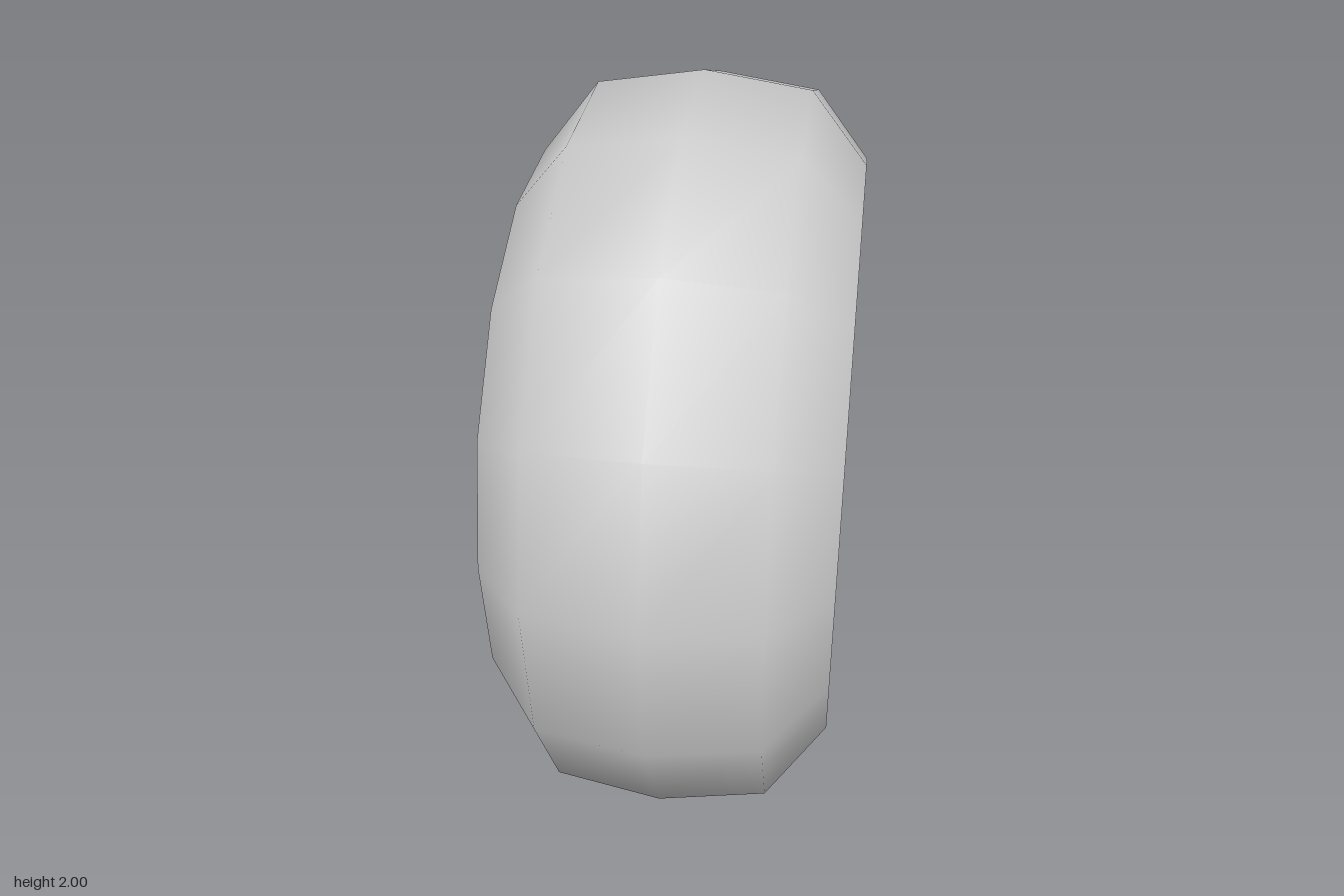
import * as THREE from 'three';

const SIDES = 16;
const TWIST = -0.1; // small roll of the wheel about its axle

export function createModel() {
  const wheel = new THREE.Group();
  wheel.name = 'wheel';
  const material = new THREE.MeshStandardMaterial({ color: 0xcccccc });

  // Revolve a [radius, x] profile around the x axle
  const revolve = (name, profile, parent) => {
    const points = profile.map(([r, x]) => new THREE.Vector2(r, x));
    const geometry = new THREE.LatheGeometry(points, SIDES, TWIST);
    geometry.rotateZ(-Math.PI / 2);
    const mesh = new THREE.Mesh(geometry, material);
    mesh.name = name;
    parent.add(mesh);
  };

  // Rounded tread, smooth from shoulder to shoulder
  revolve('tread', [
    [0.784, -0.415], [0.965, -0.27], [1.005, 0], [0.965, 0.27], [0.784, 0.415],
  ], wheel);

  // Bands from the sidewall in to the hub; each is separate so its edges stay sharp
  const bands = [
    ['sidewall', [0.784, 0.415], [0.525, 0.415]],
    ['tyreBead', [0.525, 0.415], [0.44, 0.325]],
    ['rimLip', [0.44, 0.325], [0.387, 0.31]],
    ['rimBarrel', [0.387, 0.31], [0.372, 0.14]],
    ['wheelDisc', [0.372, 0.14], [0.17, 0.14]],
    ['hubSide', [0.17, 0.14], [0.125, 0.23]],
    ['hubCap', [0.125, 0.23], [0, 0.23]],
  ];
  const left = new THREE.Group();
  left.name = 'leftFace';
  const right = new THREE.Group();
  right.name = 'rightFace';
  wheel.add(left, right);

  for (const [name, outer, inner] of bands) {
    revolve(name, [outer, inner], left);
    // Mirrored profile runs the other way so it still faces outward
    revolve(name, [[inner[0], -inner[1]], [outer[0], -outer[1]]], right);
  }

  wheel.position.y = 1;
  const model = new THREE.Group();
  model.name = 'wheelModel';
  model.add(wheel);
  return model;
}
